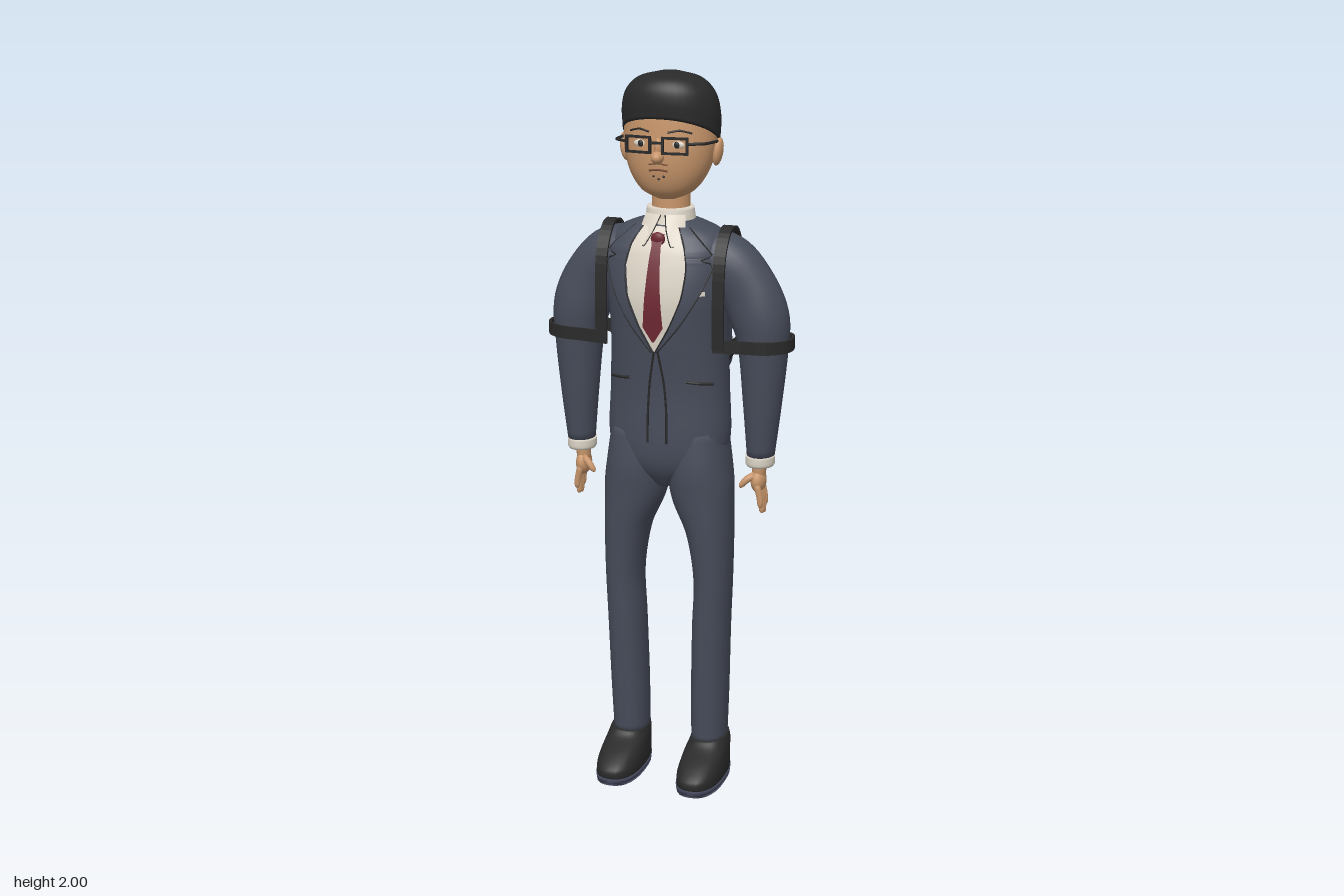
import * as THREE from 'three';
import { RoundedBoxGeometry } from 'three/addons/geometries/RoundedBoxGeometry.js';

const paint = (name, color) => {
  const m = new THREE.MeshStandardMaterial({ color, side: THREE.DoubleSide });
  m.name = name;
  return m;
};
const V = (p) => new THREE.Vector3(...p);

// Smoothly interpolate rings of [x, y, z, radius across, radius in z]
function sample(rings, n) {
  const path = new THREE.CatmullRomCurve3(rings.map((r) => V(r.slice(0, 3))), false, 'catmullrom', 0.5);
  const radii = new THREE.CatmullRomCurve3(rings.map((r) => V([r[3], r[4], 0])), false, 'catmullrom', 0.5);
  return Array.from({ length: n + 1 }, (_, i) => {
    const p = path.getPoint(i / n), r = radii.getPoint(i / n), t = path.getTangent(i / n);
    return { p, rx: r.x, rz: r.y, nx: t.y / Math.hypot(t.x, t.y), ny: -t.x / Math.hypot(t.x, t.y) };
  });
}

// Closed body lofted through superellipse sections
function loft(rings, e = 2, n = 28, sides = 28) {
  const pos = [], idx = [], rows = sample(rings, n);
  const pw = (v) => Math.sign(v) * Math.abs(v) ** (2 / e);
  for (const { p, rx, rz, nx, ny } of rows) {
    for (let j = 0; j < sides; j++) {
      const a = (j / sides) * Math.PI * 2, c = pw(Math.cos(a)) * rx;
      pos.push(p.x + nx * c, p.y + ny * c, p.z + pw(Math.sin(a)) * rz);
    }
  }
  for (let i = 0; i < n; i++) for (let j = 0; j < sides; j++) {
    const a = i * sides + j, b = i * sides + ((j + 1) % sides);
    idx.push(a, a + sides, b, b, a + sides, b + sides);
  }
  const base = pos.length / 3, last = n * sides;
  pos.push(...rows[0].p.toArray(), ...rows[n].p.toArray());
  for (let j = 0; j < sides; j++) {
    const k = (j + 1) % sides;
    idx.push(base, j, k, base + 1, last + k, last + j);
  }
  return build(pos, idx);
}

function build(pos, idx) {
  const g = new THREE.BufferGeometry();
  g.setAttribute('position', new THREE.Float32BufferAttribute(pos, 3));
  g.setIndex(idx);
  g.computeVertexNormals();
  return g;
}

// Returns a lookup for the front surface z of a lofted body at (x, y)
function frontOf(rings, e) {
  const rows = sample(rings, 120);
  return (x, y) => {
    let i = rows.findIndex((r) => r.p.y >= y);
    if (i < 0) i = rows.length - 1;
    const r = rows[i];
    return r.p.z + r.rz * Math.max(0, 1 - Math.abs(x / r.rx) ** e) ** (1 / e);
  };
}

// Cloth patch that follows a front surface; rows are [y, x0, x1], top first
function patch(front, rows, off, s = 1) {
  const pos = [], idx = [], cols = 10, fine = [];
  rows.forEach((r, i) => {
    const q = rows[i + 1];
    if (!q) return fine.push(r);
    for (let k = 0; k < 4; k++) fine.push(r.map((v, c) => v + ((q[c] - v) * k) / 4));
  });
  fine.forEach(([y, a, b], i) => {
    for (let j = 0; j <= cols; j++) {
      const x = s * (a + ((b - a) * j) / cols);
      pos.push(x, y, front(x, y) + off);
      const k = i * (cols + 1) + j;
      if (i && j) {
        const f = [k - cols - 2, k - 1, k - cols - 1, k - cols - 1, k - 1, k];
        idx.push(...(s > 0 ? f : f.reverse()));
      }
    }
  });
  return build(pos, idx);
}

const wire = (pts, r, n = 24) =>
  new THREE.TubeGeometry(new THREE.CatmullRomCurve3(pts.map(V), false, 'catmullrom', 0.3), n, r, 6);

// Flat webbing along a path; "across" is the direction of its width
function webbing(pts, across, half, thick = 0.004) {
  const c = new THREE.CatmullRomCurve3(pts.map(V)), n = 40, pos = [], idx = [];
  for (let i = 0; i <= n; i++) {
    const p = c.getPoint(i / n), t = c.getTangent(i / n);
    const w = V(across).addScaledVector(t, -V(across).dot(t)).normalize(), m = t.clone().cross(w);
    for (const [a, b] of [[1, 1], [-1, 1], [-1, -1], [1, -1]]) {
      pos.push(...p.clone().addScaledVector(w, a * half).addScaledVector(m, b * thick).toArray());
    }
    if (i) for (let j = 0; j < 4; j++) {
      const a = i * 4 - 4 + j, b = i * 4 - 4 + ((j + 1) % 4);
      idx.push(a, b, a + 4, b, b + 4, a + 4);
    }
  }
  const g = build(pos, idx).toNonIndexed();
  g.computeVertexNormals();
  return g;
}

export function createModel() {
  const root = new THREE.Group();
  const suit = paint('suit cloth', 0x474c5a), black = paint('black', 0x2a2a2a), skin = paint('skin', 0xc8966b);
  const white = paint('shirt', 0xdcd4c6), red = paint('tie red', 0x6e2833), pack = paint('pack cloth', 0x434a59);
  const lip = paint('lip brown', 0x7a4f3c), sole = paint('sole', 0x45485c);
  const add = (name, geo, mat, p = [0, 0, 0], sc = [1, 1, 1]) => {
    const m = new THREE.Mesh(geo, mat);
    m.name = name;
    m.position.set(...p);
    m.scale.set(...sc);
    root.add(m);
    return m;
  };
  const ball = new THREE.SphereGeometry(1, 20, 14);

  // Jacket body
  const torso = [[0, 0.872, 0.045, 0.03, 0.06], [0, 0.93, 0.042, 0.13, 0.098], [0, 1.0, 0.04, 0.169, 0.11],
    [0, 1.15, 0.038, 0.166, 0.11], [0, 1.3, 0.04, 0.162, 0.12], [0, 1.42, 0.038, 0.17, 0.129],
    [0, 1.52, 0.034, 0.172, 0.114], [0, 1.575, 0.034, 0.15, 0.087], [0, 1.605, 0.034, 0.09, 0.062], [0, 1.615, 0.034, 0.045, 0.04]];
  add('jacketBody', loft(torso, 2.3, 44, 40), suit);
  const chest = frontOf(torso, 2.3);
  const seam = (name, pts, off = 0.012, r = 0.003) =>
    add(name, wire(pts.map(([x, y]) => [x, y, chest(x, y) + off]), r), black);

  // Shirt front, tie and collar
  add('shirtFront', patch(chest, [[1.6, -0.05, 0.05], [1.56, -0.072, 0.072], [1.5, -0.085, 0.085],
    [1.42, -0.075, 0.075], [1.34, -0.042, 0.042], [1.27, -0.003, 0.003]], 0.01), white);
  add('tie', patch(chest, [[1.585, -0.018, 0.018], [1.555, -0.013, 0.013], [1.45, -0.02, 0.02],
    [1.34, -0.028, 0.028], [1.3, -0.003, 0.003]], 0.022), red);
  add('tieKnot', ball, red, [0, 1.572, chest(0, 1.572) + 0.018], [0.02, 0.018, 0.01]);
  add('collarBand', loft([[0, 1.585, 0.034, 0.072, 0.072], [0, 1.615, 0.034, 0.068, 0.062], [0, 1.643, 0.034, 0.064, 0.055]], 2, 8), white);
  const collar = (x, y) => 0.104 + (1.62 - y) * 0.75 - x * x * 7;

  for (const s of [1, -1]) {
    const X = (pts) => pts.map(([x, ...r]) => [s * x, ...r]);
    add('collarFlap', patch(collar, [[1.628, 0.006, 0.055], [1.59, 0.018, 0.064], [1.55, 0.038, 0.048]], 0, s), white);
    add('collarEdge', wire(X([[0.006, 1.628], [0.018, 1.59], [0.04, 1.55], [0.064, 1.59]])
      .map(([x, y]) => [x, y, collar(x, y)]), 0.0015), black);

    // Notched lapels with dark edges
    add('lapel', patch(chest, [[1.6, 0.05, 0.075], [1.55, 0.073, 0.13], [1.53, 0.08, 0.145], [1.522, 0.082, 0.115],
      [1.505, 0.085, 0.148], [1.42, 0.075, 0.115], [1.34, 0.042, 0.066], [1.27, 0.003, 0.01]], 0.018, s), suit);
    seam('lapelOuterEdge', X([[0.075, 1.6], [0.13, 1.55], [0.145, 1.53], [0.115, 1.52], [0.148, 1.505],
      [0.115, 1.42], [0.066, 1.34], [0.008, 1.27]]), 0.018, 0.002);
    seam('lapelInnerEdge', X([[0.05, 1.6], [0.072, 1.56], [0.085, 1.5], [0.075, 1.42], [0.042, 1.34], [0.003, 1.27]]), 0.018, 0.002);
    seam('jacketOpening', X([[0.005, 1.27], [0.02, 1.18], [0.026, 1.1], [0.027, 1.01]]), 0.003);
    seam('jacketPocket', X([[0.08, 1.186], [0.112, 1.181], [0.145, 1.176]]), 0.002, 0.004);

    // Sleeve, cuff and hand
    add('sleeve', loft(X([[0.07, 1.515, 0.035, 0.07, 0.075], [0.155, 1.495, 0.038, 0.085, 0.075], [0.217, 1.435, 0.042, 0.082, 0.067],
      [0.254, 1.355, 0.04, 0.08, 0.073], [0.264, 1.27, 0.038, 0.068, 0.07], [0.264, 1.12, 0.04, 0.053, 0.058],
      [0.261, 0.965, 0.04, 0.037, 0.045]]), 2, 36), suit);
    add('cuff', loft(X([[0.26, 0.942, 0.04, 0.037, 0.043], [0.26, 0.95, 0.04, 0.04, 0.047], [0.26, 0.972, 0.04, 0.04, 0.047]]), 2, 8), white);
    add('wrist', loft(X([[0.259, 0.96, 0.04, 0.022, 0.024], [0.255, 0.9, 0.04, 0.018, 0.022]]), 2, 4, 14), skin);
    add('palm', ball, skin, [s * 0.256, 0.896, 0.04], [0.021, 0.034, 0.034]);
    for (let i = 0; i < 4; i++) {
      const z = 0.04 + (i - 1.5) * 0.016, low = [0.82, 0.803, 0.806, 0.825][i];
      add('finger', loft(X([[0.257, 0.89, z, 0.01, 0.009], [0.266, 0.855, z, 0.009, 0.008],
        [0.268, low + 0.008, z, 0.008, 0.007], [0.267, low, z, 0.003, 0.003]]), 2, 8, 10), skin);
    }
    add('thumb', loft(X([[0.252, 0.915, 0.055, 0.011, 0.011], [0.232, 0.905, 0.068, 0.01, 0.01],
      [0.217, 0.888, 0.072, 0.008, 0.008], [0.213, 0.88, 0.072, 0.003, 0.003]]), 2, 8, 10), skin);

    // Trouser leg and shoe
    add('trouserLeg', loft(X([[0.117, 0.1, 0.036, 0.049, 0.064], [0.12, 0.25, 0.04, 0.052, 0.067], [0.125, 0.45, 0.046, 0.052, 0.071],
      [0.13, 0.6, 0.048, 0.052, 0.075], [0.12, 0.74, 0.047, 0.064, 0.086], [0.098, 0.85, 0.045, 0.086, 0.096],
      [0.088, 0.93, 0.042, 0.087, 0.103], [0.08, 1.03, 0.04, 0.082, 0.096]]), 2.2, 36), suit);
    add('shoe', loft(X([[0.12, 0.018, 0.1, 0.063, 0.128], [0.12, 0.045, 0.098, 0.063, 0.127], [0.12, 0.075, 0.077, 0.06, 0.106],
      [0.12, 0.1, 0.048, 0.056, 0.078], [0.119, 0.118, 0.038, 0.051, 0.067]]), 2.5, 16), black);
    add('sole', loft(X([[0.12, 0, 0.1, 0.063, 0.128], [0.12, 0.02, 0.1, 0.065, 0.131]]), 2.5, 2), sole);

    // Pack straps: over the shoulder, then round the arm to the pack
    add('shoulderStrap', webbing(X([[0.165, 1.28, 0.132], [0.165, 1.42, 0.132], [0.165, 1.53, 0.117], [0.165, 1.59, 0.065],
      [0.165, 1.588, 0.01], [0.163, 1.52, -0.046], [0.155, 1.43, -0.07], [0.13, 1.4, -0.112], [0.095, 1.39, -0.155]]), [1, 0, 0], 0.016), black);
    add('armStrap', webbing(X([[0.15, 1.288, 0.132], [0.22, 1.288, 0.12], [0.29, 1.288, 0.112], [0.333, 1.288, 0.08], [0.344, 1.288, 0.038],
      [0.332, 1.288, -0.005], [0.29, 1.286, -0.036], [0.22, 1.28, -0.043], [0.155, 1.245, -0.068], [0.1, 1.18, -0.125]]),
    [0, 1, 0], 0.017), black);
  }
  add('pocketSquare', patch(chest, [[1.437, 0.112, 0.13], [1.425, 0.112, 0.13]], 0.006), white);

  // Head
  const head = [[0, 1.668, 0.055, 0.03, 0.03], [0, 1.69, 0.052, 0.072, 0.062], [0, 1.73, 0.046, 0.102, 0.085],
    [0, 1.78, 0.038, 0.12, 0.1], [0, 1.84, 0.031, 0.127, 0.105], [0, 1.92, 0.028, 0.118, 0.098], [0, 1.97, 0.03, 0.07, 0.06]];
  add('head', loft(head, 2.1, 32, 36), skin);
  add('neck', new THREE.CylinderGeometry(0.05, 0.053, 0.14, 24), skin, [0, 1.67, 0.03]);
  const face = frontOf(head, 2.1);

  // Close-cut hair, lower at the back than the front
  const hair = loft([[0, 1.84, 0.027, 0.131, 0.108], [0, 1.9, 0.027, 0.133, 0.11], [0, 1.95, 0.03, 0.12, 0.1],
    [0, 1.985, 0.036, 0.085, 0.073], [0, 2.0, 0.04, 0.03, 0.03]], 2.1, 24, 36);
  const hp = hair.attributes.position;
  for (let i = 0; i < hp.count; i++) {
    const d = hp.getZ(i) - 0.027, shift = d * (d > 0 ? 0.54 : 0.37) - 0.01;
    hp.setY(i, hp.getY(i) + (1 - (hp.getY(i) - 1.84) / 0.16) * shift);
  }
  hair.computeVertexNormals();
  add('hair', hair, black);

  // Face
  add('nose', ball, skin, [0, 1.788, 0.142], [0.017, 0.017, 0.022]);
  add('noseBridge', ball, skin, [0, 1.81, 0.133], [0.011, 0.03, 0.014]);
  const mark = (name, pts, r, mat) => add(name, wire(pts.map(([x, y]) => [x, y, face(x, y)]), r, 12), mat);
  mark('mouth', [[-0.026, 1.752], [0, 1.755], [0.026, 1.752]], 0.003, lip);
  mark('moustache', [[-0.026, 1.768], [0, 1.772], [0.026, 1.768]], 0.002, lip);
  for (const x of [-0.014, 0, 0.014]) add('chinHair', ball, black, [x, x ? 1.737 : 1.73, face(x, 1.735)], [0.003, 0.003, 0.003]);

  // Spectacles, eyes, brows and ears
  const rim = (w, h) => [[-w, -h], [w, -h], [w, h], [-w, h]].map(([x, y]) => new THREE.Vector2(x, y));
  const frame = new THREE.Shape(rim(0.036, 0.023));
  frame.holes.push(new THREE.Path(rim(0.03, 0.017)));
  for (const s of [1, -1]) {
    const f = add('spectacleRim', new THREE.ExtrudeGeometry(frame, { depth: 0.008, bevelEnabled: false }), black, [s * 0.05, 1.822, 0.146]);
    f.rotation.y = s * 0.1;
    add('spectacleArm', wire([[s * 0.084, 1.828, 0.146], [s * 0.123, 1.827, 0.115], [s * 0.132, 1.822, 0.035]], 0.004), black);
    add('eye', ball, white, [s * 0.05, 1.822, face(0.05, 1.822) - 0.002], [0.02, 0.01, 0.006]);
    add('pupil', ball, black, [s * 0.05, 1.822, face(0.05, 1.822) + 0.002], [0.008, 0.009, 0.004]);
    mark('eyebrow', [[s * 0.025, 1.853], [s * 0.055, 1.859], [s * 0.085, 1.851]], 0.0028, black);
    const ear = add('ear', ball, skin, [s * 0.13, 1.793, 0.028], [0.013, 0.038, 0.022]);
    ear.rotation.z = -s * 0.15;
  }
  add('spectacleBridge', new THREE.BoxGeometry(0.034, 0.006, 0.008), black, [0, 1.828, 0.152]);

  // Backpack
  const w = 0.082, a = 1.16, b = 1.4, bag = new THREE.Shape();
  bag.moveTo(-w + 0.03, a).lineTo(w - 0.03, a).quadraticCurveTo(w, a, w, a + 0.03).lineTo(w - 0.006, b - 0.07);
  bag.quadraticCurveTo(w - 0.008, b, w - 0.06, b).lineTo(-w + 0.06, b).quadraticCurveTo(-w + 0.008, b, -w + 0.006, b - 0.07);
  bag.lineTo(-w, a + 0.03).quadraticCurveTo(-w, a, -w + 0.03, a);
  add('backpack', new THREE.ExtrudeGeometry(bag, { depth: 0.025, bevelSize: 0.034, bevelThickness: 0.035, bevelSegments: 7, curveSegments: 10 }),
    pack, [0, 0, -0.16]);
  add('packPocket', new RoundedBoxGeometry(0.18, 0.112, 0.06, 4, 0.022), pack, [0, 1.214, -0.2]);
  add('packBadge', new THREE.BoxGeometry(0.06, 0.022, 0.008), black, [0, 1.315, -0.193]);
  add('packZip', wire([[-0.111, 1.26, -0.177], [-0.107, 1.34, -0.177], [-0.088, 1.405, -0.177], [-0.03, 1.43, -0.177],
    [0.03, 1.43, -0.177], [0.088, 1.405, -0.177], [0.107, 1.34, -0.177], [0.111, 1.26, -0.177]], 0.004, 48), black);
  add('packHandle', wire([[-0.032, 1.425, -0.15], [-0.03, 1.455, -0.15], [0.03, 1.455, -0.15], [0.032, 1.425, -0.15]], 0.006), black);
  return root;
}
